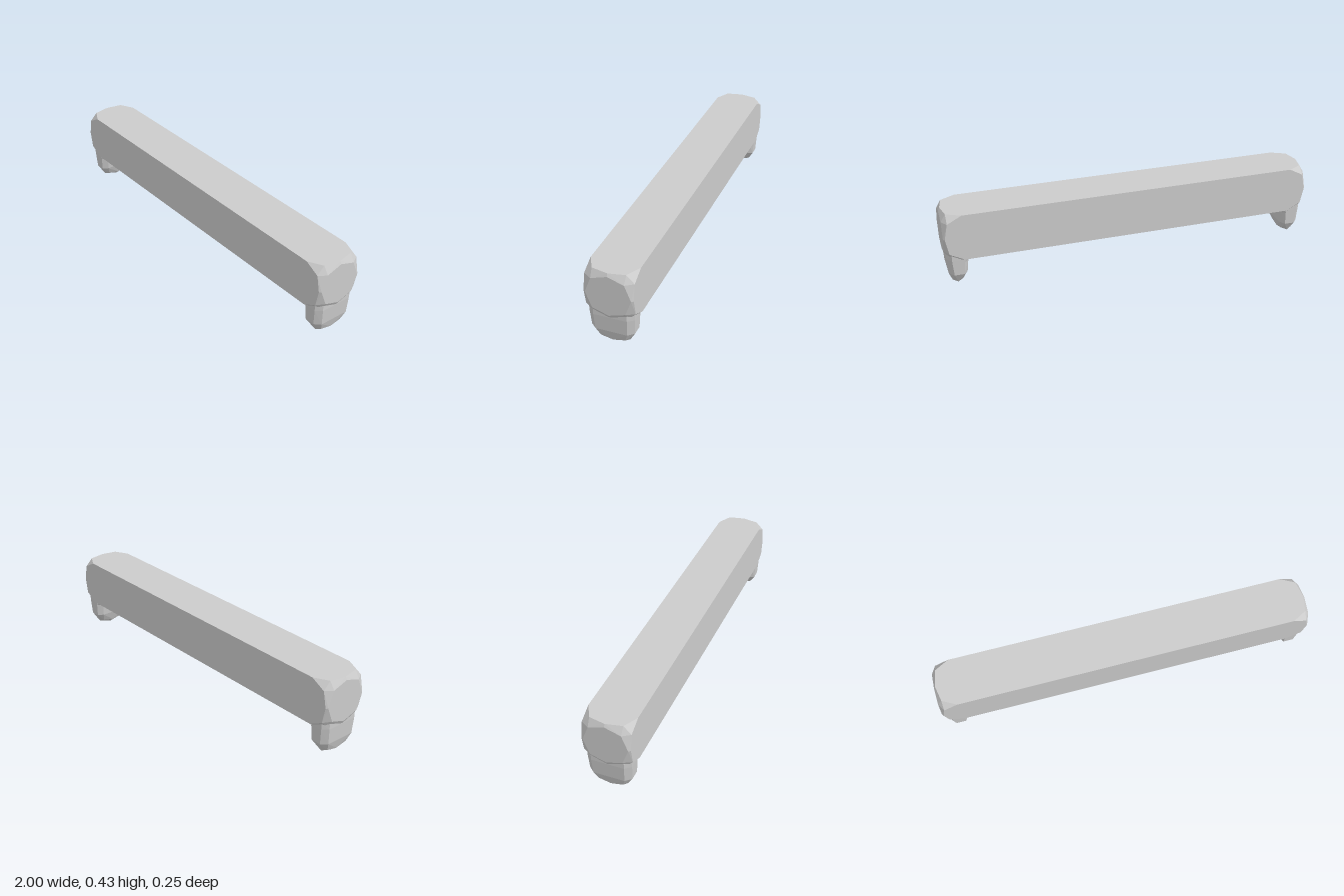
import * as THREE from 'three';
import { ConvexGeometry } from 'three/addons/geometries/ConvexGeometry.js';

const material = new THREE.MeshStandardMaterial({ color: 0xcccccc, flatShading: true });

// Faceted solid around the given points, each mirrored in z
function facetedPart(name, points) {
  const all = [];
  for (const [x, y, z] of points) {
    all.push(new THREE.Vector3(x, y, z));
    if (z !== 0) all.push(new THREE.Vector3(x, y, -z));
  }
  const mesh = new THREE.Mesh(new ConvexGeometry(all), material);
  mesh.name = name;
  return mesh;
}

// Square beam with cut corners and slightly domed ends
function beam() {
  const cy = 0.3, h = 0.125;
  const points = [];
  for (const sx of [-1, 1]) {
    for (const sy of [-1, 1]) {
      points.push(
        [sx * 0.9, cy + sy * h, h],
        [sx * 0.975, cy + sy * h, 0.085],
        [sx * 0.975, cy + sy * 0.085, h],
        [sx * 0.992, cy + sy * h, 0],
        [sx, cy + sy * 0.11, 0],
        [sx, cy + sy * 0.083, 0.083],
      );
    }
    points.push([sx * 0.992, cy, h], [sx, cy, 0.115]);
  }
  return facetedPart('beam', points);
}

// Chamfered foot tapering to a blunt point
function foot(side) {
  const group = new THREE.Group();
  group.name = side > 0 ? 'leftFoot' : 'rightFoot';
  const place = (points) => points.map(([x, y, z]) => [side * x, y, z]);
  const points = [];
  // Each row: height, outer x, end x range, inner x, face half width, full half width
  for (const [y, outer, endOut, endIn, inner, face, wide] of [
    [0.2, 0.99, 0.965, 0.9, 0.875, 0.085, 0.116],
    [0.17, 0.99, 0.965, 0.9, 0.877, 0.085, 0.115],
    [0.083, 0.984, 0.958, 0.904, 0.887, 0.08, 0.11],
  ]) {
    points.push([outer, y, face], [endOut, y, wide], [endIn, y, wide], [inner, y, face]);
  }
  points.push(
    [0.966, 0.035, 0.063], [0.938, 0.025, 0.077], [0.91, 0.035, 0.063],
    [0.967, 0.023, 0], [0.938, 0, 0], [0.908, 0.023, 0],
  );
  group.add(facetedPart('footBody', place(points)));
  // Small flare where the foot meets the underside of the beam
  group.add(facetedPart('footFlare', place([
    [0.85, 0.18, 0.085], [0.85, 0.174, 0.085], [0.882, 0.15, 0.083],
    [0.89, 0.18, 0.114], [0.902, 0.15, 0.112], [0.93, 0.18, 0.08],
  ])));
  return group;
}

export function createModel() {
  const model = new THREE.Group();
  model.name = 'footedBeam';
  model.add(beam(), foot(1), foot(-1));
  return model;
}
